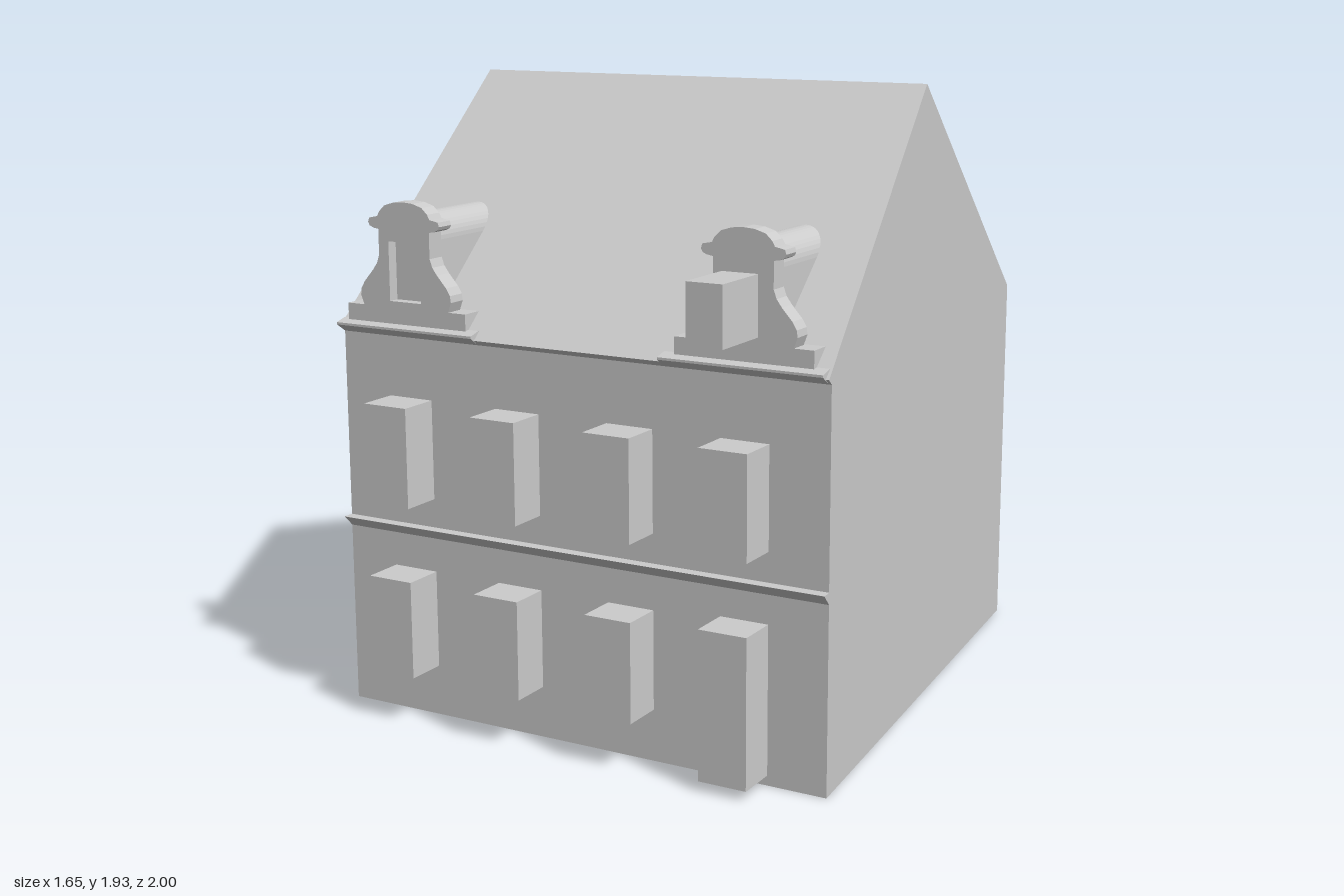
import * as THREE from 'three';

const WEST = -0.823;                       // straight gable wall
const eastX = (z) => 0.741 + 0.1 * z;      // slanted gable wall

export function createModel() {
  const model = new THREE.Group();
  const stone = new THREE.MeshStandardMaterial({ color: 0xcccccc });
  stone.name = 'pale stone';

  const add = (name, geometry, parent = model) => {
    const mesh = new THREE.Mesh(geometry, stone);
    mesh.name = name;
    parent.add(mesh);
    return mesh;
  };

  // Extrudes a (z, y) profile along x; the +x end can follow the slanted wall
  const prism = (profile, x0, x1, slanted = false) => {
    const shape = new THREE.Shape(profile.map(([z, y]) => new THREE.Vector2(z, y)));
    const geo = new THREE.ExtrudeGeometry(shape, { depth: x1 - x0, bevelEnabled: false });
    geo.rotateY(-Math.PI / 2).translate(x1, 0, 0);
    if (slanted) {
      const p = geo.attributes.position;
      for (let i = 0; i < p.count; i++) {
        if (p.getX(i) > x1 - 1e-4) p.setX(i, eastX(p.getZ(i)));
      }
      geo.computeVertexNormals();
    }
    return geo;
  };

  const box = (name, x0, x1, y0, y1, z0, z1, parent) => add(name,
    new THREE.BoxGeometry(x1 - x0, y1 - y0, z1 - z0)
      .translate((x0 + x1) / 2, (y0 + y1) / 2, (z0 + z1) / 2), parent);

  // House body with its roof: a recessed rear half and a deeper rear half
  const front = [[0.79, 0], [0.79, 1.18], [0.812, 1.197], [-0.01, 1.93]];
  add('recessedHouseHalf', prism(
    [[-0.925, 0], ...front, [-0.963, 1.208], [-0.925, 1.18]], WEST, 0.038));
  add('deepHouseHalf', prism([[-1, 0], ...front, [-1, 1.18]], 0.038, 0.7, true));

  // Triangular string course between the floors
  add('stringCourse', prism([[0.78, 0.565], [0.79, 0.565], [0.826, 0.6], [0.78, 0.6]], WEST, 0.7, true));

  // Projecting window blocks and the door
  [-0.58, -0.197, 0.187, 0.558].forEach((x, i) => {
    const door = i === 3;
    box(door ? 'door' : 'lowerWindow', x - 0.076, x + 0.076,
      door ? 0.03 : 0.158, door ? 0.478 : 0.46, 0.78, 0.92);
    box('upperWindow', x - 0.076, x + 0.076, 0.689, 0.995, 0.78, 0.92);
  });

  // Curved dormer front, mirrored about its centre line
  const dormerShape = () => {
    const s = new THREE.Shape();
    const half = (m) => [
      [0.153, 1.265], [0.166, 1.3], [0.163, 1.32], [0.15, 1.342], [0.118, 1.378], [0.102, 1.4],
      [0.093, 1.425], [0.093, 1.503], [0.112, 1.506], [0.125, 1.512], [0.13, 1.522],
      [0.126, 1.535], [0.112, 1.538], [0.096, 1.541], [0.088, 1.556], [0.068, 1.575], [0.035, 1.585],
    ].map(([x, y]) => new THREE.Vector2(m * x, y));
    s.setFromPoints([...half(1), new THREE.Vector2(0, 1.588), ...half(-1).reverse()]);
    return s;
  };

  const addDormer = (name, x, corniceX0, corniceX1, open) => {
    const dormer = new THREE.Group();
    dormer.name = name;
    model.add(dormer);

    const shape = dormerShape();
    if (open) {
      shape.holes.push(new THREE.Path([[-0.057, 1.288], [-0.057, 1.468], [0.057, 1.468], [0.057, 1.288]]
        .map(([a, b]) => new THREE.Vector2(a, b))));
    }
    add('dormerFront', new THREE.ExtrudeGeometry(shape, { depth: 0.06, bevelEnabled: false })
      .translate(x, 0, 0.74), dormer);

    // Plinth and wedge cornice below the dormer front
    box('dormerPlinth', x - 0.216, x + 0.216, 1.215, 1.27, 0.73, 0.8, dormer);
    add('dormerCornice', prism(
      [[0.74, 1.18], [0.79, 1.18], [0.828, 1.205], [0.828, 1.212], [0.79, 1.222], [0.74, 1.222]],
      corniceX0, corniceX1), dormer);

    // Barrel roof running back into the slope
    const arch = new THREE.Shape();
    arch.moveTo(-0.077, 1.2);
    arch.lineTo(0.077, 1.2);
    arch.lineTo(0.077, 1.473);
    arch.absarc(0, 1.473, 0.077, 0, Math.PI, false);
    add('dormerBarrel', new THREE.ExtrudeGeometry(arch, { depth: 0.37, bevelEnabled: false, curveSegments: 10 })
      .translate(x, 0, 0.395), dormer);

    if (!open) box('dormerWindow', 0.49, 0.602, 1.29, 1.464, 0.78, 1, dormer);
  };
  addDormer('rightDormer', -0.582, WEST, -0.328, true);
  addDormer('leftDormer', 0.556, 0.302, 0.812, false);

  return model;
}
